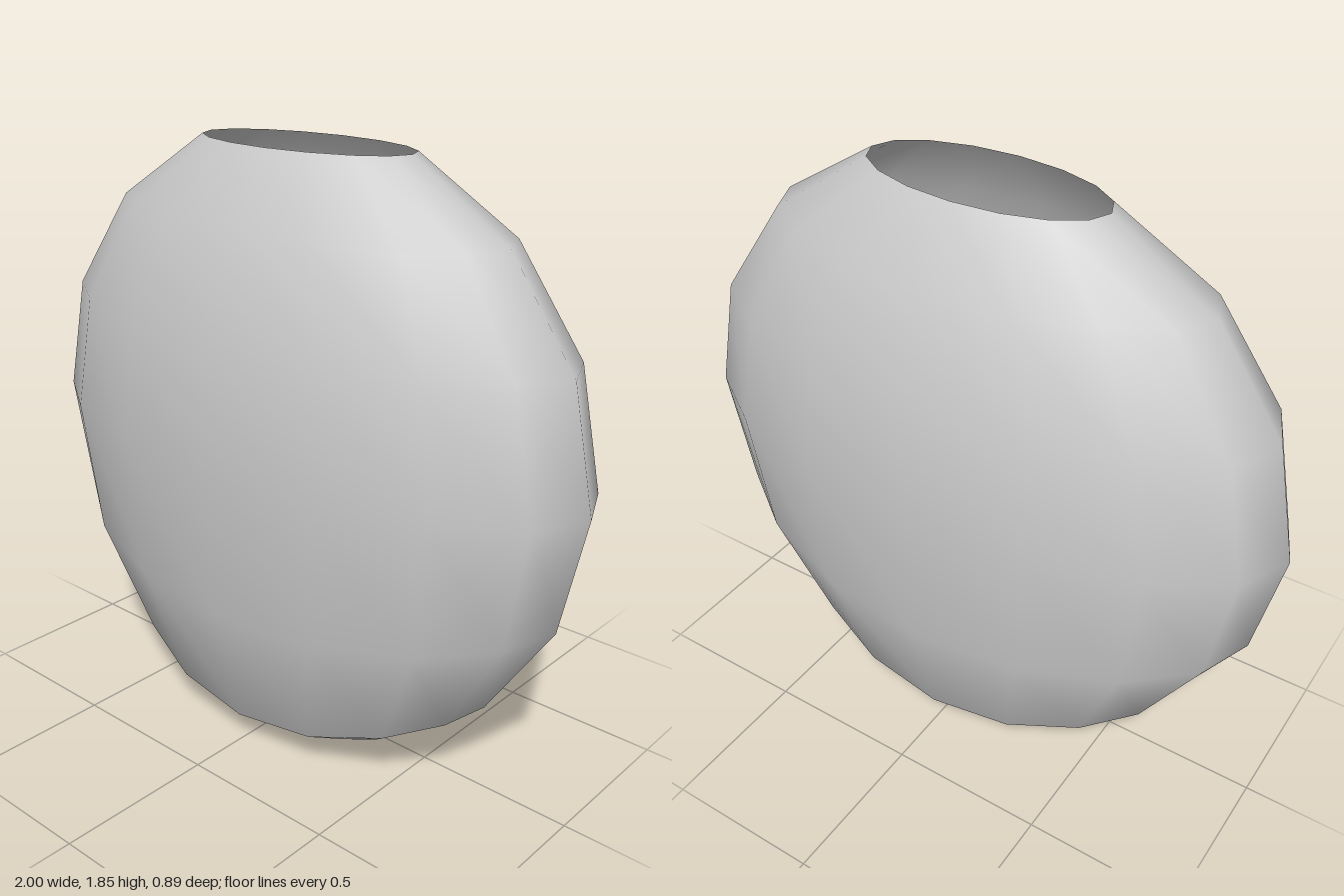
import * as THREE from 'three';
import { mergeVertices } from 'three/addons/utils/BufferGeometryUtils.js';

const SIDES = 16;
const STEP = Math.PI / 8;

// How far each lower ring sags: [at the left/right ends, at the front/back]
const SAG = { 4: [0, 0.12], 5: [0.02, 0.2], 6: [0.05, 0.073], 7: [0.012, 0.012] };

// Flattened sphere, open at the top, with a fuller, flatter underside
function vaseGeometry() {
  const sphere = new THREE.SphereGeometry(1, SIDES, 7, 0, Math.PI * 2, STEP, Math.PI - STEP);
  const pos = sphere.attributes.position;
  for (let i = 0; i < pos.count; i++) {
    const ring = Math.floor(i / (SIDES + 1));
    const [ends, faces] = SAG[ring] ?? [0, 0];
    const angle = ((i % (SIDES + 1)) / SIDES) * Math.PI * 2;
    const sag = THREE.MathUtils.lerp(ends, faces, Math.sin(angle) ** 2);
    pos.setXYZ(i, pos.getX(i), 0.965 + 0.953 * pos.getY(i) - sag, pos.getZ(i) * 0.443);
  }
  // Weld the seam so the shading is smooth all round
  sphere.deleteAttribute('uv');
  sphere.deleteAttribute('normal');
  const welded = mergeVertices(sphere);
  welded.computeVertexNormals();
  return welded;
}

export function createModel() {
  const model = new THREE.Group();
  model.name = 'vase';

  // Thin open shell, visible inside and out
  const shell = new THREE.Mesh(
    vaseGeometry(),
    new THREE.MeshStandardMaterial({ color: 0xcccccc, side: THREE.DoubleSide })
  );
  shell.name = 'vaseShell';
  model.add(shell);
  return model;
}
